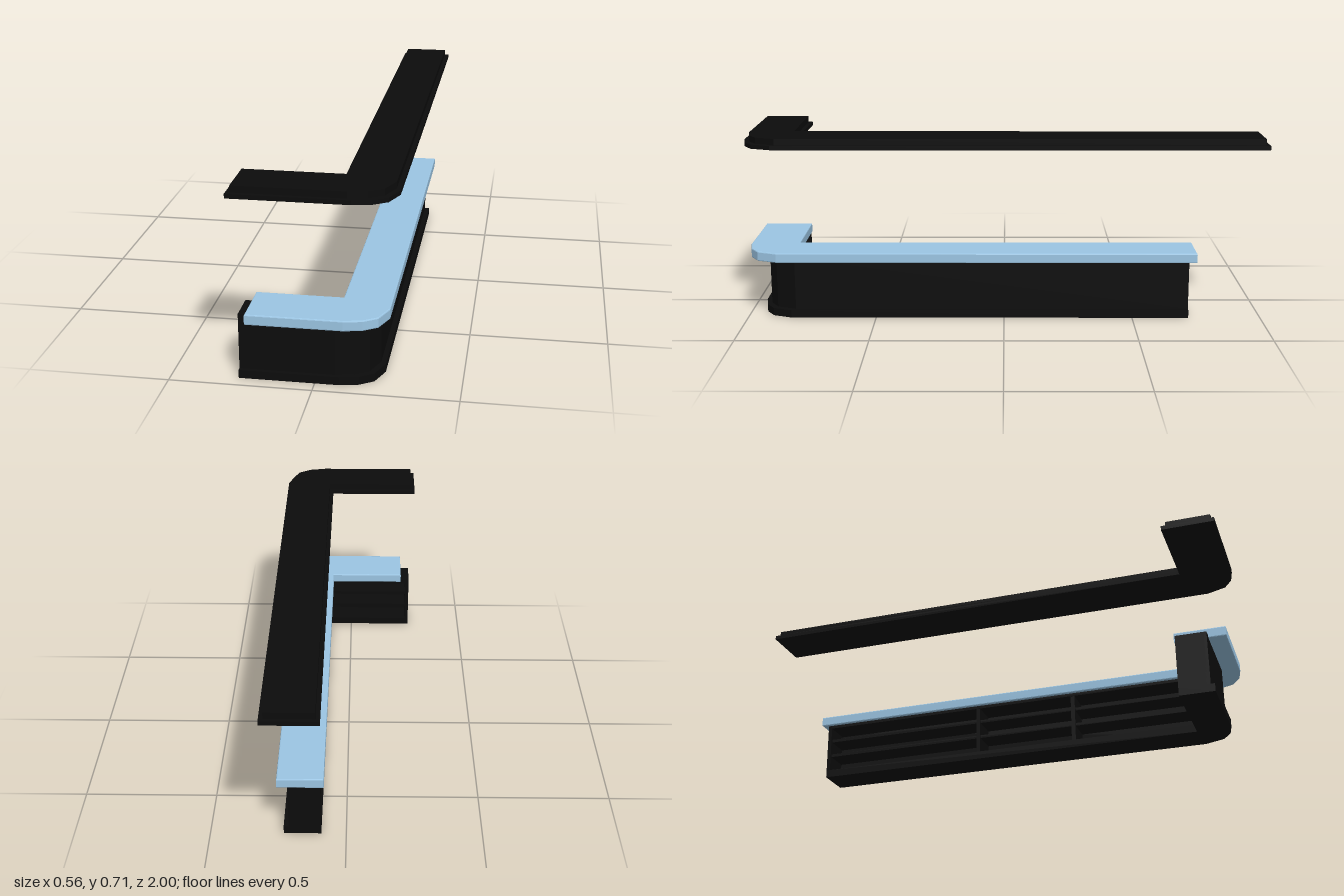
import * as THREE from 'three';

const black = new THREE.MeshStandardMaterial({ color: 0x0c0c0c });
const blue = new THREE.MeshStandardMaterial({ color: 0x9cc6e4 });

// Faceted outer corner, as offsets from the square corner
const corner = [[-0.145, 0], [-0.08, -0.013], [-0.03, -0.045], [0, -0.12]];

// L-shaped plan: x0..x1 wide, z0..z1 long, inner corner at (xi, zi)
function lPlan(x0, x1, z0, z1, xi, zi) {
  return [
    [x0, z1], ...corner.map(([dx, dz]) => [x1 + dx, z1 + dz]),
    [x1, z0], [xi, z0], [xi, zi], [x0, zi],
  ];
}

// Extrude a plan of [x, z] points from y0 up to y1, with optional edge bevel
function slab(name, plan, y0, y1, material, bevel = 0) {
  const shape = new THREE.Shape(plan.map(([x, z]) => new THREE.Vector2(x, z)));
  const geo = new THREE.ExtrudeGeometry(shape, {
    depth: y1 - y0 - 2 * bevel,
    bevelEnabled: bevel > 0,
    bevelSize: bevel, bevelOffset: -bevel, bevelThickness: bevel, bevelSegments: 2,
  });
  geo.rotateX(Math.PI / 2);
  geo.translate(0, y1 - bevel, 0);
  const mesh = new THREE.Mesh(geo, material);
  mesh.name = name;
  return mesh;
}

function box(name, x0, x1, y0, y1, z0, z1) {
  const mesh = new THREE.Mesh(new THREE.BoxGeometry(x1 - x0, y1 - y0, z1 - z0), black);
  mesh.position.set((x0 + x1) / 2, (y0 + y1) / 2, (z0 + z1) / 2);
  mesh.name = name;
  return mesh;
}

export function createModel() {
  const model = new THREE.Group();
  model.name = 'barCounter';

  // Overhead canopy: thin wide lip with a narrower slab on top
  const canopy = new THREE.Group();
  canopy.name = 'canopy';
  canopy.add(
    slab('canopyLip', lPlan(-0.28, 0.28, -1, 1, 0.08, 0.8), 0.675, 0.691, black),
    slab('canopyTop', lPlan(-0.265, 0.265, -0.985, 0.985, 0.095, 0.815), 0.691, 0.715, black),
  );

  // Countertop with softened edges
  const top = slab('countertop', lPlan(-0.228, 0.25, -0.745, 1, 0.08, 0.81), 0.227, 0.265, blue, 0.004);

  // Counter body: plinth, outer wall, open shelving on the inner side
  const body = new THREE.Group();
  body.name = 'counterBody';
  body.add(slab('plinth', lPlan(-0.265, 0.23, -0.72, 0.95, 0.092, 0.82), 0, 0.03, black));

  const outer = [[-0.265, 0.935], ...corner.map(([dx, dz]) => [0.212 + dx, 0.935 + dz]), [0.212, -0.72]];
  const inner = [[-0.265, 0.92], ...corner.map(([dx, dz]) => [0.197 + dx, 0.92 + dz]), [0.197, -0.72]];
  body.add(slab('outerWall', [...outer, ...inner.reverse()], 0.03, 0.235, black));

  for (const y of [0.09, 0.155]) {
    body.add(slab('shelf', lPlan(-0.255, 0.205, -0.71, 0.928, 0.1, 0.828), y, y + 0.012, black));
  }
  body.add(slab('topPanel', lPlan(-0.255, 0.205, -0.71, 0.928, 0.092, 0.82), 0.215, 0.234, black));

  // End panels and upright dividers
  body.add(
    box('shortArmEndPanel', -0.265, -0.25, 0.03, 0.235, 0.82, 0.925),
    box('longArmEndPanel', 0.092, 0.2, 0.03, 0.235, -0.72, -0.705),
  );
  for (const z of [-0.055, 0.34]) {
    body.add(box('divider', 0.094, 0.2, 0.03, 0.22, z - 0.008, z + 0.008));
  }

  model.add(canopy, top, body);
  return model;
}
